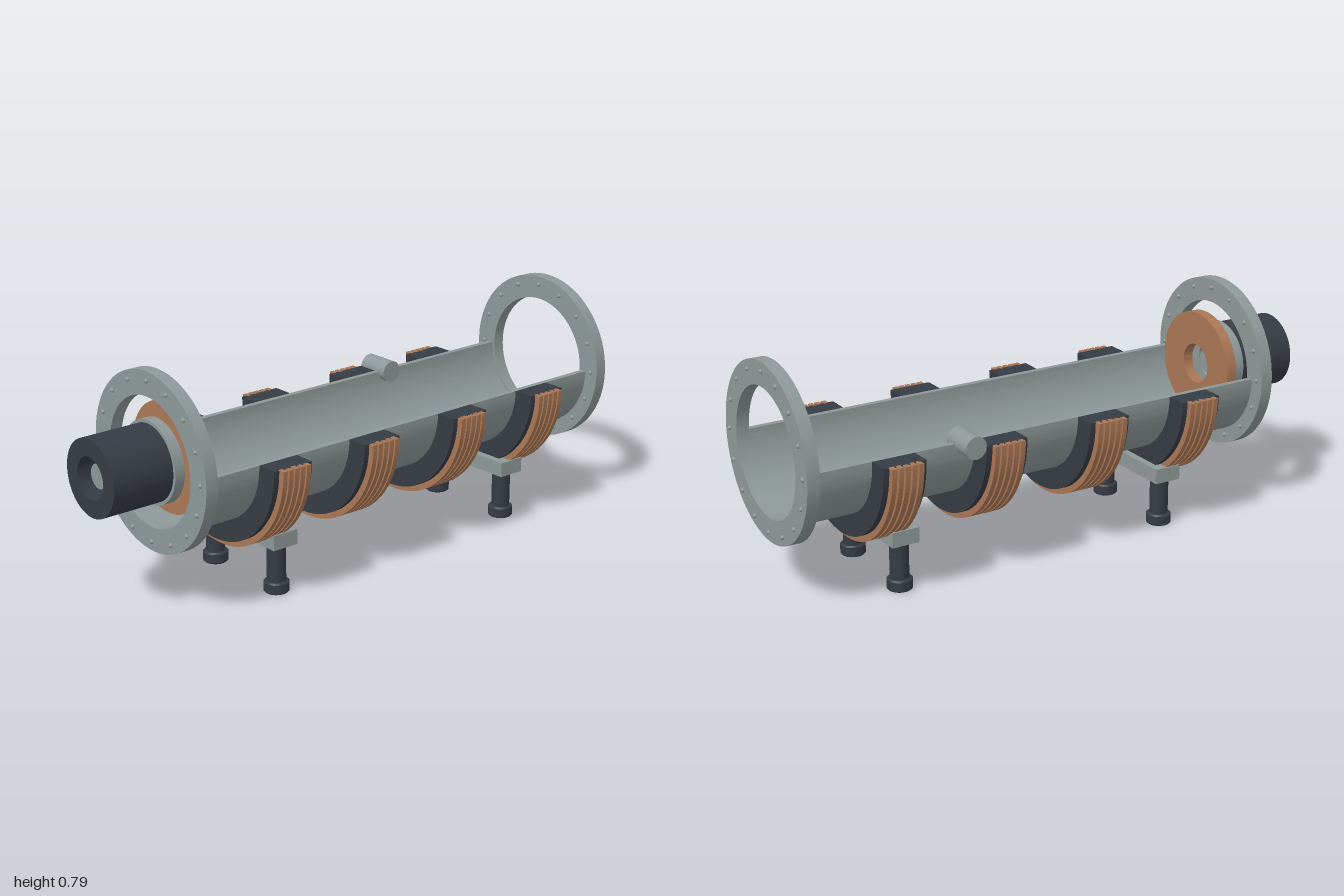
import * as THREE from 'three';
import { toCreasedNormals } from 'three/addons/utils/BufferGeometryUtils.js';

const AXIS_Y = 0.49;

export function createModel() {
  const root = new THREE.Group();
  root.name = 'halfShellChamber';
  const mat = (name, color) => {
    const m = new THREE.MeshStandardMaterial({ color });
    m.name = name;
    return m;
  };
  const steel = mat('steel grey', 0x8e9898);
  const copper = mat('copper', 0xaa7755);
  const dark = mat('dark slate', 0x363c44);

  const add = (name, geo, material, x = 0, y = AXIS_Y, z = 0) => {
    const mesh = new THREE.Mesh(geo, material);
    mesh.name = name;
    mesh.position.set(x, y, z);
    root.add(mesh);
    return mesh;
  };

  // Ring or lower half ring around the x axis, centred on its width
  const ring = (outer, inner, width, half = false) => {
    const s = new THREE.Shape();
    if (half) {
      s.absarc(0, 0, outer, Math.PI, Math.PI * 2, false);
      s.absarc(0, 0, inner, Math.PI * 2, Math.PI, true);
      s.closePath();
    } else {
      s.absarc(0, 0, outer, 0, Math.PI * 2, false);
      const hole = new THREE.Path();
      hole.absarc(0, 0, inner, 0, Math.PI * 2, true);
      s.holes.push(hole);
    }
    const g = new THREE.ExtrudeGeometry(s, { depth: width, bevelEnabled: false, curveSegments: half ? 48 : 72 });
    g.translate(0, 0, -width / 2).rotateY(Math.PI / 2);
    return toCreasedNormals(g, 0.5);
  };

  // Open half tube
  add('halfShell', ring(0.246, 0.226, 1.73, true), steel, 0.105);

  // End flanges with sixteen bolts on each face
  const flangeGeo = ring(0.299, 0.217, 0.044);
  const boltGeo = new THREE.SphereGeometry(0.008, 12, 8);
  for (const x of [-0.758, 0.97]) {
    add('endFlange', flangeGeo, steel, x);
    for (const side of [-1, 1]) {
      for (let i = 0; i < 16; i++) {
        const a = (i * Math.PI) / 8;
        add('flangeBolt', boltGeo, steel, x + side * 0.022, AXIS_Y + 0.269 * Math.sin(a), 0.269 * Math.cos(a));
      }
    }
  }

  // Half coils: dark former with five copper windings
  const formerGeo = ring(0.321, 0.245, 0.15, true);
  const windingGeo = ring(0.342, 0.315, 0.017, true);
  for (const x of [-0.46, -0.09, 0.302, 0.67]) {
    add('coilFormer', formerGeo, dark, x);
    for (let i = -2; i <= 2; i++) add('coilWinding', windingGeo, copper, x + i * 0.0235);
  }

  // Cross beams on legs with round feet
  const beamGeo = new THREE.BoxGeometry(0.098, 0.052, 0.43);
  const legGeo = new THREE.CylinderGeometry(0.032, 0.032, 0.15, 32);
  const footProfile = [[0, 0], [0.039, 0], [0.043, 0.004], [0.043, 0.035], [0.038, 0.04], [0, 0.04]];
  const footGeo = toCreasedNormals(
    new THREE.LatheGeometry(footProfile.map(([r, y]) => new THREE.Vector2(r, y)), 32), 0.5);
  for (const x of [-0.408, 0.617]) {
    add('crossBeam', beamGeo, steel, x, 0.194);
    for (const z of [-0.165, 0.165]) {
      add('leg', legGeo, dark, x, 0.105, z);
      add('foot', footGeo, dark, x, 0, z);
    }
  }

  // Source at the closed end: hollow body, collar, centre rod and copper disc
  add('sourceBody', ring(0.129, 0.071, 0.22), dark, -0.89);
  add('sourceCollar', ring(0.14, 0.071, 0.036), steel, -0.762);
  const rodGeo = new THREE.CylinderGeometry(0.041, 0.041, 0.245, 40).rotateZ(Math.PI / 2);
  add('centreRod', rodGeo, steel, -0.8475);
  add('apertureDisc', ring(0.186, 0.07, 0.038), copper, -0.694);

  // Side port through the back wall
  const portGeo = new THREE.CylinderGeometry(0.038, 0.038, 0.12, 40).rotateX(Math.PI / 2);
  add('sidePort', portGeo, steel, 0.414, AXIS_Y, -0.258);

  return root;
}
